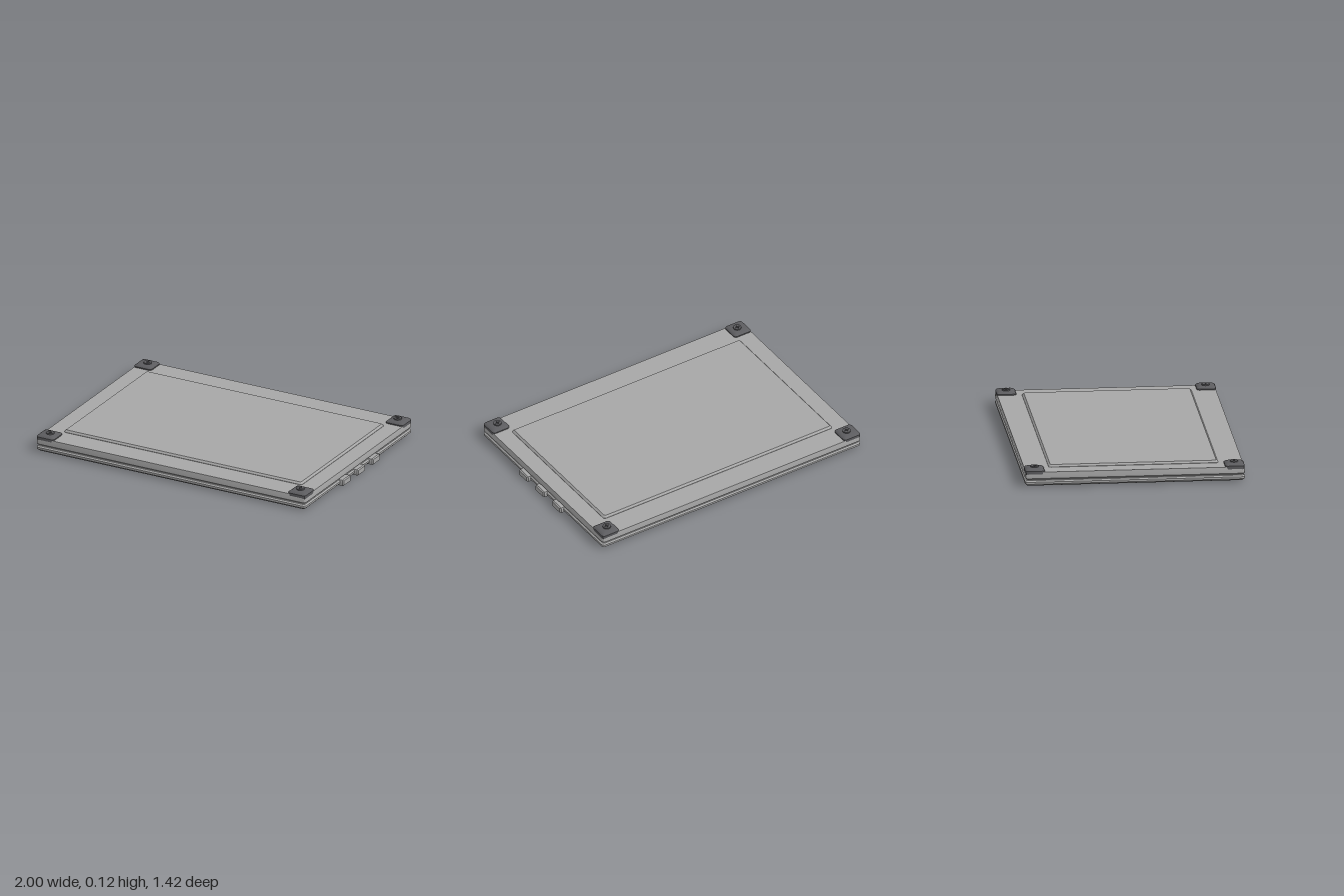
import * as THREE from 'three';
import { toCreasedNormals } from 'three/addons/utils/BufferGeometryUtils.js';

// Stack of rounded rectangles [halfX, halfZ, cornerRadius, y], closed at both ends
function loft(rings, seg = 3) {
  const pos = [], idx = [], n = 4 * (seg + 1);
  for (const [hx, hz, r, y] of rings) {
    for (let c = 0; c < 4; c++) {
      const sx = c === 0 || c === 3 ? 1 : -1, sz = c < 2 ? 1 : -1;
      for (let s = 0; s <= seg; s++) {
        const a = (c + s / seg) * Math.PI / 2;
        pos.push(sx * (hx - r) + r * Math.cos(a), y, sz * (hz - r) + r * Math.sin(a));
      }
    }
  }
  const last = rings.length - 1, bottom = pos.length / 3, top = bottom + 1;
  pos.push(0, rings[0][3], 0, 0, rings[last][3], 0);
  for (let i = 0; i < n; i++) {
    const j = (i + 1) % n;
    for (let k = 0; k < last; k++) {
      const a = k * n, b = a + n;
      idx.push(a + i, b + i, a + j, b + i, b + j, a + j);
    }
    idx.push(bottom, i, j, top, last * n + j, last * n + i);
  }
  const g = new THREE.BufferGeometry();
  g.setAttribute('position', new THREE.Float32BufferAttribute(pos, 3));
  g.setIndex(idx);
  return toCreasedNormals(g, 0.5);
}

export function createModel() {
  const model = new THREE.Group();
  model.name = 'flatCase';
  const grey = new THREE.MeshStandardMaterial({ color: 0xa6a6a6 });
  grey.name = 'grey shell';
  const dark = new THREE.MeshStandardMaterial({ color: 0x5c5c5f });
  dark.name = 'dark rubber';

  const add = (parent, name, geometry, material, x = 0, y = 0, z = 0) => {
    const m = new THREE.Mesh(geometry, material);
    m.name = name;
    m.position.set(x, y, z);
    parent.add(m);
    return m;
  };

  // Shell: everything but the side tabs is centred slightly to the right
  const body = new THREE.Group();
  body.name = 'body';
  body.position.x = -0.0125;
  model.add(body);
  const W = 0.9875, D = 0.708;

  add(body, 'bottomPlate', loft([
    [W - 0.013, D - 0.013, 0.015, 0.007], [W - 0.008, D - 0.008, 0.015, 0.012],
  ]), dark);
  add(body, 'lowerShell', loft([
    [W - 0.008, D - 0.008, 0.015, 0.012], [W, D, 0.02, 0.019],
    [W, D, 0.02, 0.032], [W - 0.009, D - 0.009, 0.015, 0.041],
  ]), grey);
  add(body, 'seam', loft([
    [W - 0.017, D - 0.017, 0.015, 0.04], [W - 0.017, D - 0.017, 0.015, 0.05],
  ]), grey);
  add(body, 'upperShell', loft([
    [W - 0.012, D - 0.012, 0.015, 0.046], [W, D, 0.02, 0.056],
    [W, D, 0.02, 0.076], [W - 0.004, D - 0.004, 0.02, 0.097],
  ]), grey);
  add(body, 'raisedPanel', loft([
    [0.873, 0.546, 0.015, 0.096], [0.873, 0.546, 0.015, 0.099], [0.862, 0.535, 0.012, 0.112],
  ]), grey);

  // Screw head with a cross slot
  const head = new THREE.Shape().absarc(0, 0, 0.026, 0, Math.PI * 2, false);
  const a = 0.003, b = 0.014;
  head.holes.push(new THREE.Path([
    [a, a], [b, a], [b, -a], [a, -a], [a, -b], [-a, -b],
    [-a, -a], [-b, -a], [-b, a], [-a, a], [-a, b], [a, b],
  ].map(([x, y]) => new THREE.Vector2(x, y))));
  const screwGeo = new THREE.ExtrudeGeometry(head, { depth: 0.008, bevelEnabled: false, curveSegments: 10 });
  screwGeo.rotateX(-Math.PI / 2);

  // Corner pads wrap over the top edges
  const padGeo = loft([
    [0.063, 0.062, 0.016, 0.08], [0.064, 0.063, 0.016, 0.104],
    [0.058, 0.057, 0.014, 0.111], [0.046, 0.045, 0.012, 0.117],
  ], 2);
  for (const sx of [-1, 1]) for (const sz of [-1, 1]) {
    const corner = new THREE.Group();
    corner.name = 'corner';
    corner.position.set(sx * (W - 0.0645), 0, sz * (D - 0.064));
    body.add(corner);
    add(corner, 'cornerPad', padGeo, dark);
    add(corner, 'screw', screwGeo, dark, sx * -0.006, 0.117, sz * -0.001);
  }

  // Three tabs along the left side
  const tabGeo = loft([
    [0.022, 0.05, 0.008, -0.03], [0.022, 0.05, 0.008, 0.02], [0.016, 0.044, 0.006, 0.028],
  ], 2).rotateZ(-Math.PI / 2);
  for (const z of [-0.193, 0.003, 0.195]) add(model, 'sideTab', tabGeo, grey, 0.972, 0.023, z);

  return model;
}
